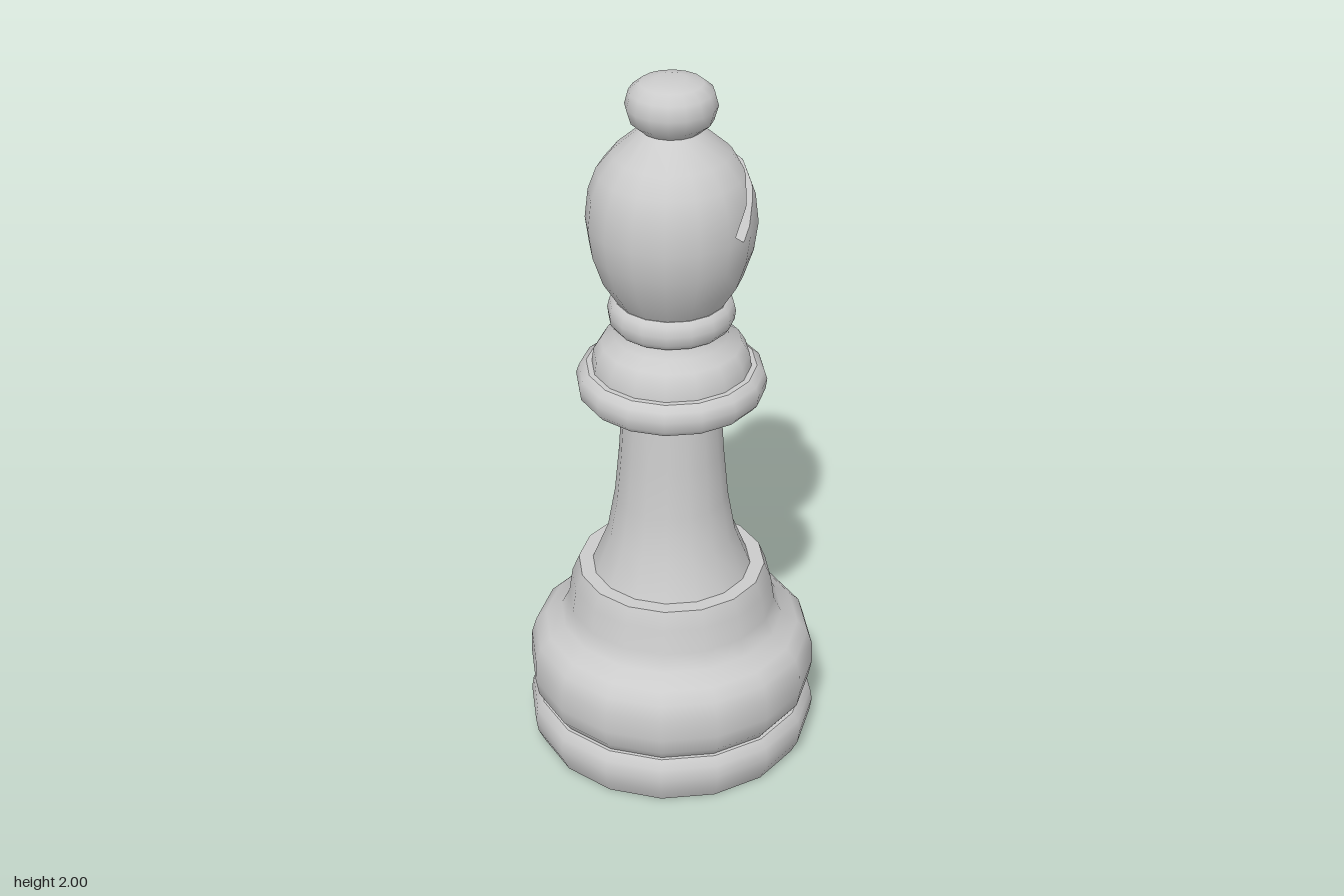
import * as THREE from 'three';
import { mergeGeometries } from 'three/addons/utils/BufferGeometryUtils.js';

const SIDES = 16;
const material = new THREE.MeshStandardMaterial({ color: 0xcccccc });

const lathe = (profile) =>
  new THREE.LatheGeometry(profile.map(([r, y]) => new THREE.Vector2(r, y)), SIDES);

// One turned part; each run of [radius, height] is smooth, with a crease between runs.
function turned(name, ...runs) {
  const mesh = new THREE.Mesh(mergeGeometries(runs.map(lathe)), material);
  mesh.name = name;
  return mesh;
}

// Slot frame: u runs up along the slot, w across it.
const SLOT = { x: 0.042, y: 1.617, angle: 0.9, half: 0.02 };
const C = Math.cos(SLOT.angle), S = Math.sin(SLOT.angle);
const along = (p) => (p.x - SLOT.x) * C + (p.y - SLOT.y) * S;
const across = (p) => (p.y - SLOT.y) * C - (p.x - SLOT.x) * S;

// Keep the part of a polygon where dist(p) >= 0.
function clip(poly, dist) {
  const out = [];
  poly.forEach((a, i) => {
    const b = poly[(i + 1) % poly.length];
    const da = dist(a.p), db = dist(b.p);
    if (da >= 0) out.push(a);
    if ((da > 0 && db < 0) || (da < 0 && db > 0)) {
      const t = da / (da - db);
      out.push({ p: a.p.clone().lerp(b.p, t), n: a.n.clone().lerp(b.n, t).normalize() });
    }
  });
  return out;
}

// Head with a slanted slot cut through it from front to back.
function slottedHead(profile) {
  const source = lathe(profile).toNonIndexed();
  const pos = source.attributes.position, nor = source.attributes.normal;
  const positions = [], normals = [], points = [];
  const emit = (poly) => {
    for (let i = 1; i + 1 < poly.length; i++) {
      for (const v of [poly[0], poly[i], poly[i + 1]]) {
        positions.push(...v.p.toArray());
        normals.push(...v.n.toArray());
      }
    }
  };
  const above = (p) => across(p) - SLOT.half;
  const below = (p) => -SLOT.half - across(p);
  const behind = (p) => -along(p);

  // outer skin
  for (let i = 0; i < pos.count; i += 3) {
    const tri = [0, 1, 2].map((k) => ({
      p: new THREE.Vector3().fromBufferAttribute(pos, i + k),
      n: new THREE.Vector3().fromBufferAttribute(nor, i + k),
    }));
    const middle = clip(clip(tri, (p) => -above(p)), (p) => -below(p));
    for (const piece of [clip(tri, above), clip(tri, below), clip(middle, behind)]) {
      emit(piece);
      points.push(...piece.map((v) => v.p));
    }
  }

  // slot walls and floor: fans over the cut outline
  const EPS = 1e-5;
  const cap = (test, n) => {
    const rim = points.filter(test);
    const centre = rim.reduce((sum, p) => sum.add(p), new THREE.Vector3()).divideScalar(rim.length);
    const e1 = new THREE.Vector3(0, 0, 1);
    const e2 = n.clone().cross(e1);
    const angle = (p) => {
      const d = p.clone().sub(centre);
      return Math.atan2(d.dot(e2), d.dot(e1));
    };
    rim.sort((a, b) => angle(a) - angle(b));
    rim.forEach((p, i) =>
      emit([centre, p, rim[(i + 1) % rim.length]].map((q) => ({ p: q, n }))));
  };
  const inSlot = (p) => along(p) > -EPS;
  cap((p) => Math.abs(above(p)) < EPS && inSlot(p), new THREE.Vector3(S, -C, 0));
  cap((p) => Math.abs(below(p)) < EPS && inSlot(p), new THREE.Vector3(-S, C, 0));
  cap((p) => Math.abs(along(p)) < EPS && Math.abs(across(p)) < SLOT.half + EPS,
    new THREE.Vector3(C, S, 0));

  const geometry = new THREE.BufferGeometry();
  geometry.setAttribute('position', new THREE.Float32BufferAttribute(positions, 3));
  geometry.setAttribute('normal', new THREE.Float32BufferAttribute(normals, 3));
  const mesh = new THREE.Mesh(geometry, material);
  mesh.name = 'head';
  return mesh;
}

export function createModel() {
  const group = new THREE.Group();
  group.name = 'chessBishop';
  group.add(
    turned('foot',
      [[0, 0], [0.385, 0]],
      [[0.385, 0], [0.404, 0.04], [0.41, 0.08], [0.404, 0.115], [0.385, 0.138]],
      [[0.385, 0.138], [0.36, 0.138]]),
    turned('base',
      [[0.375, 0.138], [0.398, 0.17], [0.407, 0.22], [0.404, 0.28], [0.39, 0.325], [0.36, 0.355],
        [0.315, 0.385], [0.292, 0.43], [0.282, 0.5], [0.262, 0.55]],
      [[0.262, 0.55], [0.2, 0.55]]),
    turned('stem',
      [[0.222, 0.55], [0.178, 0.66], [0.157, 0.78], [0.144, 0.92], [0.133, 1.1]]),
    turned('collar',
      [[0.12, 1.098], [0.24, 1.098]],
      [[0.24, 1.098], [0.254, 1.115], [0.258, 1.145], [0.25, 1.17], [0.23, 1.185]],
      [[0.23, 1.185], [0.2, 1.185]]),
    turned('upperCollar',
      [[0.215, 1.185], [0.21, 1.22], [0.19, 1.253], [0.155, 1.277], [0.143, 1.308]]),
    turned('neckRing',
      [[0.13, 1.308], [0.155, 1.308]],
      [[0.155, 1.308], [0.168, 1.325], [0.171, 1.35], [0.165, 1.375], [0.15, 1.386]],
      [[0.15, 1.386], [0.12, 1.386]]),
    slottedHead(
      [[0.148, 1.386], [0.188, 1.45], [0.215, 1.53], [0.226, 1.61], [0.217, 1.69],
        [0.195, 1.75], [0.155, 1.8], [0.08, 1.866]]),
    turned('finial',
      [[0.08, 1.866], [0.108, 1.89], [0.12, 1.93], [0.11, 1.968], [0.083, 1.99], [0.04, 2], [0, 2]]),
  );
  return group;
}
